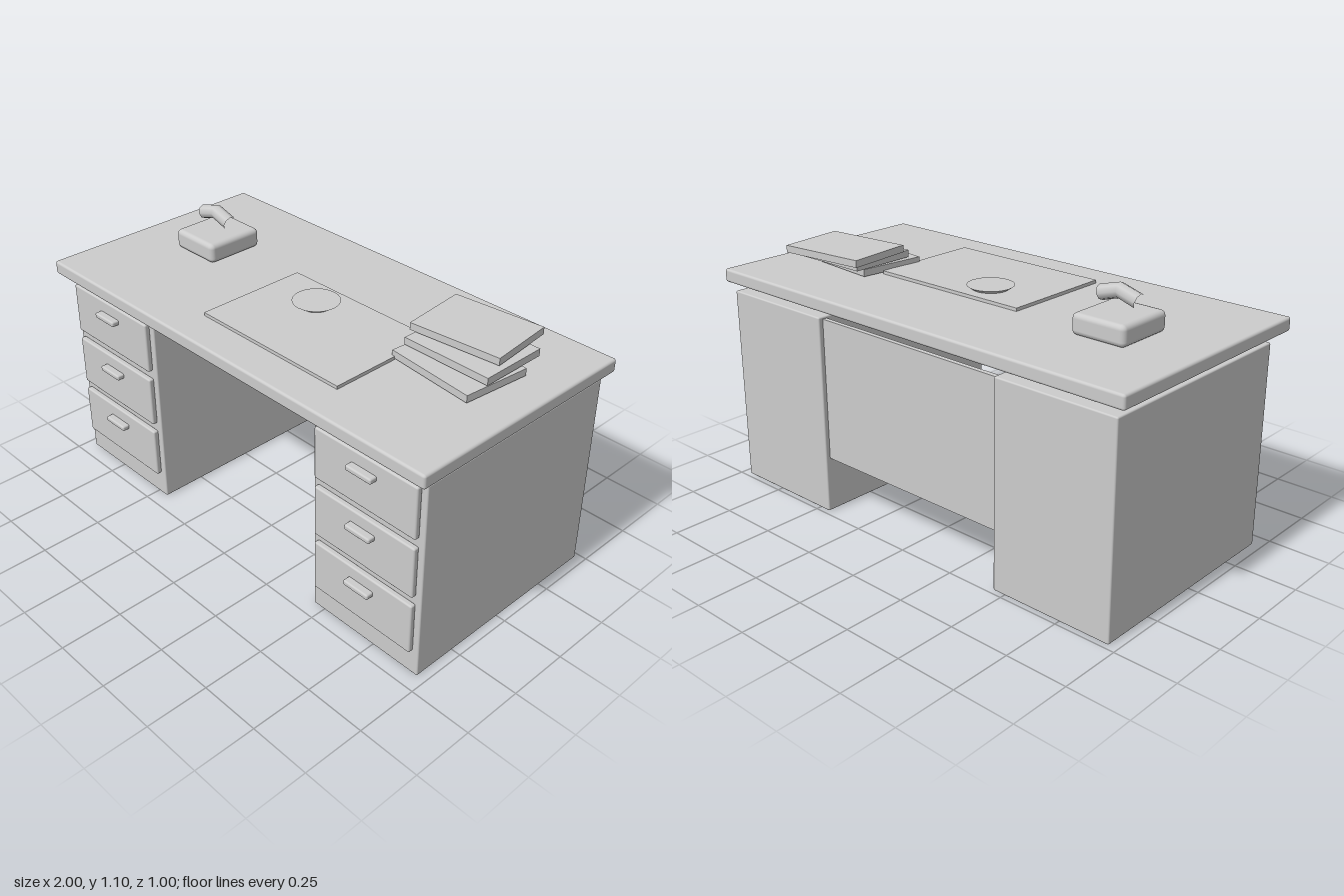
import * as THREE from 'three';
import { RoundedBoxGeometry } from 'three/addons/geometries/RoundedBoxGeometry.js';

export function createModel() {
  const desk = new THREE.Group();
  desk.name = 'desk';
  const grey = new THREE.MeshStandardMaterial({ color: 0xcccccc });
  grey.name = 'light grey';

  const add = (name, geometry, x, y, z, parent = desk) => {
    const mesh = new THREE.Mesh(geometry, grey);
    mesh.name = name;
    mesh.position.set(x, y, z);
    parent.add(mesh);
    return mesh;
  };
  const box = (w, h, d) => new THREE.BoxGeometry(w, h, d);
  const rounded = (w, h, d, r) => new RoundedBoxGeometry(w, h, d, 2, r);

  // Desk top, floating just above the pedestals
  add('deskTop', rounded(2, 0.055, 1, 0.01), 0, 0.887, 0);

  // Two pedestals with three drawers each
  for (const side of [-1, 1]) {
    const pedestal = new THREE.Group();
    pedestal.name = side > 0 ? 'leftPedestal' : 'rightPedestal';
    pedestal.position.x = side * 0.705;
    desk.add(pedestal);
    add('cabinet', rounded(0.516, 0.824, 0.916, 0.006), 0, 0.412, -0.022, pedestal);
    for (let i = 0; i < 3; i++) {
      const y = 0.71 - i * 0.248;
      add('drawerFront', rounded(0.47, 0.211, 0.024, 0.007), 0, y, 0.447, pedestal);
      add('drawerHandle', rounded(0.118, 0.022, 0.034, 0.007), 0, y + 0.046, 0.472, pedestal);
    }
  }

  // Panel closing the back of the leg space
  add('modestyPanel', box(0.9, 0.585, 0.02), 0, 0.522, -0.45);

  // Writing mat and shallow dish
  add('writingMat', box(0.703, 0.013, 0.47), 0.117, 0.921, 0.115);
  add('dish', new THREE.CylinderGeometry(0.093, 0.07, 0.016, 24), 0, 0.933, 0);

  // Loosely stacked books: x, y, z, turn
  const books = [
    [0.655, 0.934, -0.052, -0.1],
    [0.654, 0.97, -0.12, 0],
    [0.62, 1.003, -0.184, 0.1],
  ];
  for (const [x, y, z, turn] of books) {
    add('book', box(0.374, 0.029, 0.279), x, y, z).rotation.y = turn;
  }

  // Telephone with a bent, open-ended handset above it
  const phone = new THREE.Group();
  phone.name = 'telephone';
  phone.position.set(-0.648, 0, -0.06);
  desk.add(phone);
  add('phoneBody', rounded(0.228, 0.081, 0.25, 0.02), 0, 0.955, 0, phone);
  const bend = new THREE.CatmullRomCurve3([
    new THREE.Vector3(-0.08, 1.046, 0),
    new THREE.Vector3(0, 1.07, 0),
    new THREE.Vector3(0.08, 1.046, 0),
  ]);
  add('handset', new THREE.TubeGeometry(bend, 2, 0.029, 8), 0, 0, 0, phone);

  return desk;
}
